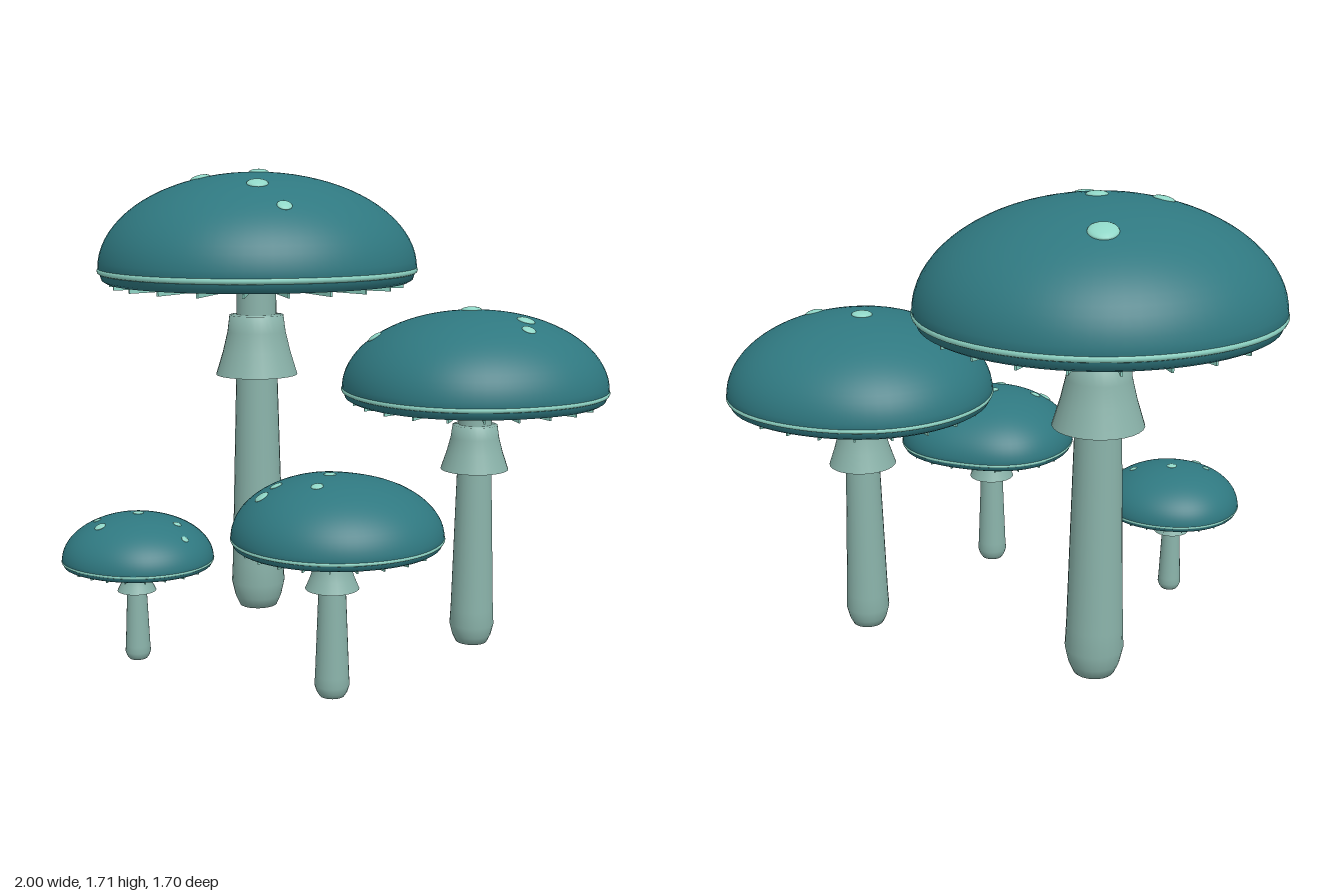
import * as THREE from 'three';
import { mergeVertices } from 'three/addons/utils/BufferGeometryUtils.js';

const mat = (color, side = THREE.FrontSide) => new THREE.MeshStandardMaterial({ color, side });
const capMat = mat(0x2f7880);
const paleMat = mat(0x8fd6c6);
const stemMat = mat(0x8ab3aa);
const ringMat = mat(0x8ab3aa, THREE.DoubleSide);
const underMat = mat(0x66908a);

// x, z: stem position; rim: height of the cap edge; size: mean cap radius
// radii: cap outline every 45 degrees from +x towards +z
// spots: [x, z, radius] seen from above
const MUSHROOMS = [
  { name: 'tallMushroom', x: -0.388, z: -0.245, rim: 1.335, size: 0.607,
    radii: [0.607, 0.602, 0.617, 0.603, 0.607, 0.592, 0.605, 0.622],
    spots: [[-0.487, -0.54, 0.05], [-0.364, -0.23, 0.037], [-0.556, -0.118, 0.037],
      [-0.246, -0.005, 0.04], [-0.09, 0.08, 0.028]] },
  { name: 'mediumMushroom', x: 0.532, z: -0.198, rim: 0.935, size: 0.468,
    radii: [0.463, 0.445, 0.465, 0.47, 0.487, 0.485, 0.46, 0.475],
    spots: [[0.503, -0.219, 0.037], [0.722, -0.171, 0.032], [0.76, -0.09, 0.025], [0.203, -0.048, 0.028]] },
  { name: 'smallMushroom', x: 0.318, z: 0.527, rim: 0.535, size: 0.34,
    radii: [0.352, 0.328, 0.32, 0.325, 0.337, 0.355, 0.337, 0.365],
    spots: [[0.455, 0.29, 0.023], [0.305, 0.519, 0.02], [0.321, 0.642, 0.02],
      [0.16, 0.615, 0.021], [0.139, 0.674, 0.025]] },
  { name: 'tinyMushroom', x: -0.457, z: 0.507, rim: 0.366, size: 0.261,
    radii: [0.274, 0.26, 0.245, 0.256, 0.256, 0.26, 0.257, 0.268],
    spots: [[-0.455, 0.492, 0.019], [-0.305, 0.476, 0.015], [-0.241, 0.529, 0.013],
      [-0.572, 0.572, 0.014], [-0.519, 0.631, 0.02]] },
];

const CAP_HEIGHT = 0.6; // dome height / cap radius
const UNDER = -0.085;   // underside height / cap radius

// Smooth closed outline through the eight radii
function outline(radii) {
  const n = radii.length;
  return (angle) => {
    const t = ((angle / (Math.PI * 2)) * n + n) % n;
    const i = Math.floor(t), u = t - i;
    const [a, b, c, d] = [-1, 0, 1, 2].map((k) => radii[(i + k + n) % n]);
    return b + 0.5 * u * (c - a + u * (2 * a - 5 * b + 4 * c - d + u * (3 * (b - c) + d - a)));
  };
}

function lathe(profile, segments) {
  return new THREE.LatheGeometry(profile.map(([r, y]) => new THREE.Vector2(r, y)), segments);
}

// Unit-radius lathe stretched to the cap outline
function outlinedLathe(profile, radiusAt, size) {
  let geo = lathe(profile, 72);
  const p = geo.attributes.position;
  for (let i = 0; i < p.count; i++) {
    const f = radiusAt(Math.atan2(p.getZ(i), p.getX(i)));
    p.setXYZ(i, p.getX(i) * f, p.getY(i) * size, p.getZ(i) * f);
  }
  geo.deleteAttribute('normal');
  geo.deleteAttribute('uv');
  geo = mergeVertices(geo, 1e-5);
  geo.computeVertexNormals();
  return geo;
}

function createMushroom({ name, x, z, rim, size, radii, spots }) {
  const group = new THREE.Group();
  group.name = name;
  group.position.set(x, 0, z);
  const radiusAt = outline(radii);
  const add = (part, geo, material, y = 0) => {
    const mesh = new THREE.Mesh(geo, material);
    mesh.name = part;
    mesh.position.y = y;
    group.add(mesh);
    return mesh;
  };

  // Stem with a tucked-in foot
  const top = rim + UNDER * size;
  add('stem', lathe([[0, 0], [0.122 * size, 0], [0.15 * size, 0.03 * top], [0.172 * size, 0.075 * top],
    [0.165 * size, 0.14 * top], [0.132 * size, 0.72 * top], [0.125 * size, top + 0.02 * size]], 24), stemMat);

  // Flared skirt around the stem
  add('ring', lathe([[0.26 * size, 0.72 * top], [0.215 * size, 0.79 * top], [0.185 * size, 0.85 * top],
    [0.172 * size, 0.9 * top], [0.12 * size, 0.902 * top]], 28), ringMat);

  // Domed cap with a rolled lip
  const dome = [[0.95, UNDER], [0.975, -0.07], [0.985, -0.04]];
  for (let i = 0; i <= 20; i++) {
    const a = (i / 20) * Math.PI / 2;
    dome.push([Math.cos(a), Math.sin(a) * CAP_HEIGHT]);
  }
  dome[dome.length - 1][0] = 0;
  add('cap', outlinedLathe(dome, radiusAt, size), capMat, rim);
  add('underside', outlinedLathe([[0, UNDER], [0.5, UNDER], [0.95, UNDER]], radiusAt, size), underMat, rim);

  // Pale band along the cap edge
  const band = [];
  for (let i = 0; i <= 8; i++) {
    const a = (i / 8) * Math.PI * 2;
    band.push([0.988 + 0.018 * Math.cos(a), -0.01 + 0.02 * Math.sin(a)]);
  }
  add('rimBand', outlinedLathe(band, radiusAt, size), paleMat, rim);

  // Radial gills
  const gills = 22;
  for (let i = 0; i < gills; i++) {
    const a = (i / gills) * Math.PI * 2;
    const inner = 0.28 * size, outer = 0.93 * radiusAt(a);
    const gill = add('gill', new THREE.BoxGeometry(outer - inner, 0.035 * size, 0.013 * size),
      paleMat, rim + (UNDER - 0.012) * size);
    gill.position.x = Math.cos(a) * (inner + outer) / 2;
    gill.position.z = Math.sin(a) * (inner + outer) / 2;
    gill.rotation.y = -a;
  }

  // Flat spots lying on the dome
  const up = new THREE.Vector3(0, 1, 0);
  for (const [sx, sz, r] of spots) {
    const dx = sx - x, dz = sz - z, h = CAP_HEIGHT * size;
    const f = radiusAt(Math.atan2(dz, dx));
    const y = h * Math.sqrt(Math.max(0, 1 - (dx * dx + dz * dz) / (f * f)));
    const spot = add('spot', new THREE.SphereGeometry(r, 20, 10), paleMat);
    spot.position.set(dx, rim + y, dz);
    spot.scale.y = 0.3;
    const normal = new THREE.Vector3(dx / (f * f), y / (h * h), dz / (f * f)).normalize();
    spot.quaternion.setFromUnitVectors(up, normal);
  }
  return group;
}

export function createModel() {
  const model = new THREE.Group();
  model.name = 'mushroomCluster';
  for (const m of MUSHROOMS) model.add(createMushroom(m));
  return model;
}
